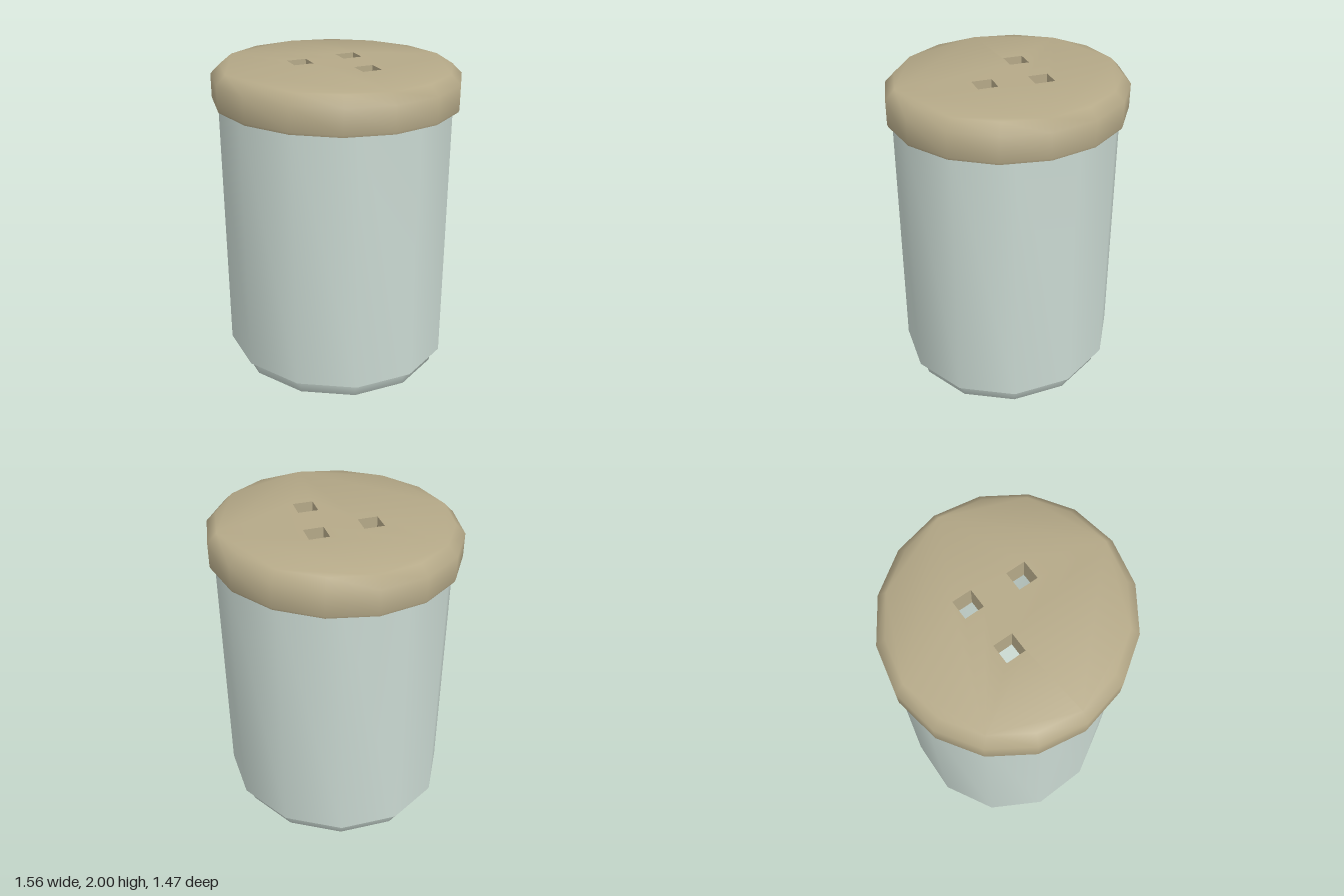
import * as THREE from 'three';
import { mergeGeometries, toCreasedNormals } from 'three/addons/utils/BufferGeometryUtils.js';

const DEPTH = 0.943; // the jar is slightly narrower front to back
const HOLES = [[0, -0.22], [-0.22, 0.045], [0.22, 0.045]]; // x, z
const HOLE_R = 0.088;

const lathe = (pts, sides) =>
  new THREE.LatheGeometry(pts.map(([r, y]) => new THREE.Vector2(r, y)), sides);

// Circle of points with the first one on the x axis
const ring = (r, n, cx = 0, cy = 0) => Array.from({ length: n }, (_, i) => {
  const a = (i / n) * Math.PI * 2;
  return new THREE.Vector2(cx + r * Math.cos(a), cy + r * Math.sin(a));
});

export function createModel() {
  const model = new THREE.Group();
  model.name = 'shaker';

  const glass = new THREE.MeshStandardMaterial({ color: 0xcad9d2, side: THREE.DoubleSide });
  const lidMat = new THREE.MeshStandardMaterial({ color: 0xb5a988 });
  const shaftMat = new THREE.MeshStandardMaterial({ color: 0xb5a988, side: THREE.BackSide, flatShading: true });
  const pickMat = new THREE.MeshStandardMaterial({ color: 0xe0cc70 });

  const add = (name, geometry, material, parent = model) => {
    const mesh = new THREE.Mesh(geometry, material);
    mesh.name = name;
    parent.add(mesh);
    return mesh;
  };

  // Foot, shaded softly around its lower rim
  add('foot', toCreasedNormals(lathe([[0, 0], [0.68, 0], [0.68, 0.1]], 12), Math.PI), glass)
    .scale.z = DEPTH;

  // Hollow body, open at the top under the lid
  add('body', toCreasedNormals(lathe([[0, 0.1], [0.74, 0.1], [0.74, 1.85]], 12), 1), glass)
    .scale.z = DEPTH;

  // Lid: rim with chamfered edge joined to a pierced top
  const lid = new THREE.Group();
  lid.name = 'lid';
  model.add(lid);
  const TOP_R = 0.72;
  const rim = lathe([[0.68, 1.775], [0.775, 1.775], [0.78, 1.79], [0.78, 1.94], [TOP_R, 2]], 16);
  rim.scale(1, 1, DEPTH);
  const disc = new THREE.Shape(ring(TOP_R, 16).map(p => p.set(p.x, p.y * DEPTH)));
  for (const [x, z] of HOLES) disc.holes.push(new THREE.Path(ring(HOLE_R, 4, x, -z)));
  const top = new THREE.ShapeGeometry(disc).rotateX(-Math.PI / 2).translate(0, 2, 0);
  add('lidShell', toCreasedNormals(mergeGeometries([rim, top]), 1), lidMat, lid);

  // Walls of the pouring holes
  for (const [x, z] of HOLES) {
    add('holeWall', new THREE.CylinderGeometry(HOLE_R, HOLE_R, 0.16, 4, 1, true), shaftMat, lid)
      .position.set(x, 1.92, z);
  }

  // Thin sticks kept inside the jar, one of them just below a hole
  const sticks = [[0.045, -0.175, 0.06], [-0.35, 0.2, -0.08], [0.38, 0.3, 0.1]];
  for (const [x, z, tilt] of sticks) {
    const stick = add('innerStick', new THREE.CylinderGeometry(0.02, 0.02, 1.3, 6), pickMat);
    stick.position.set(x, 0.78, z);
    stick.rotation.set(tilt, 0, tilt);
  }

  return model;
}
